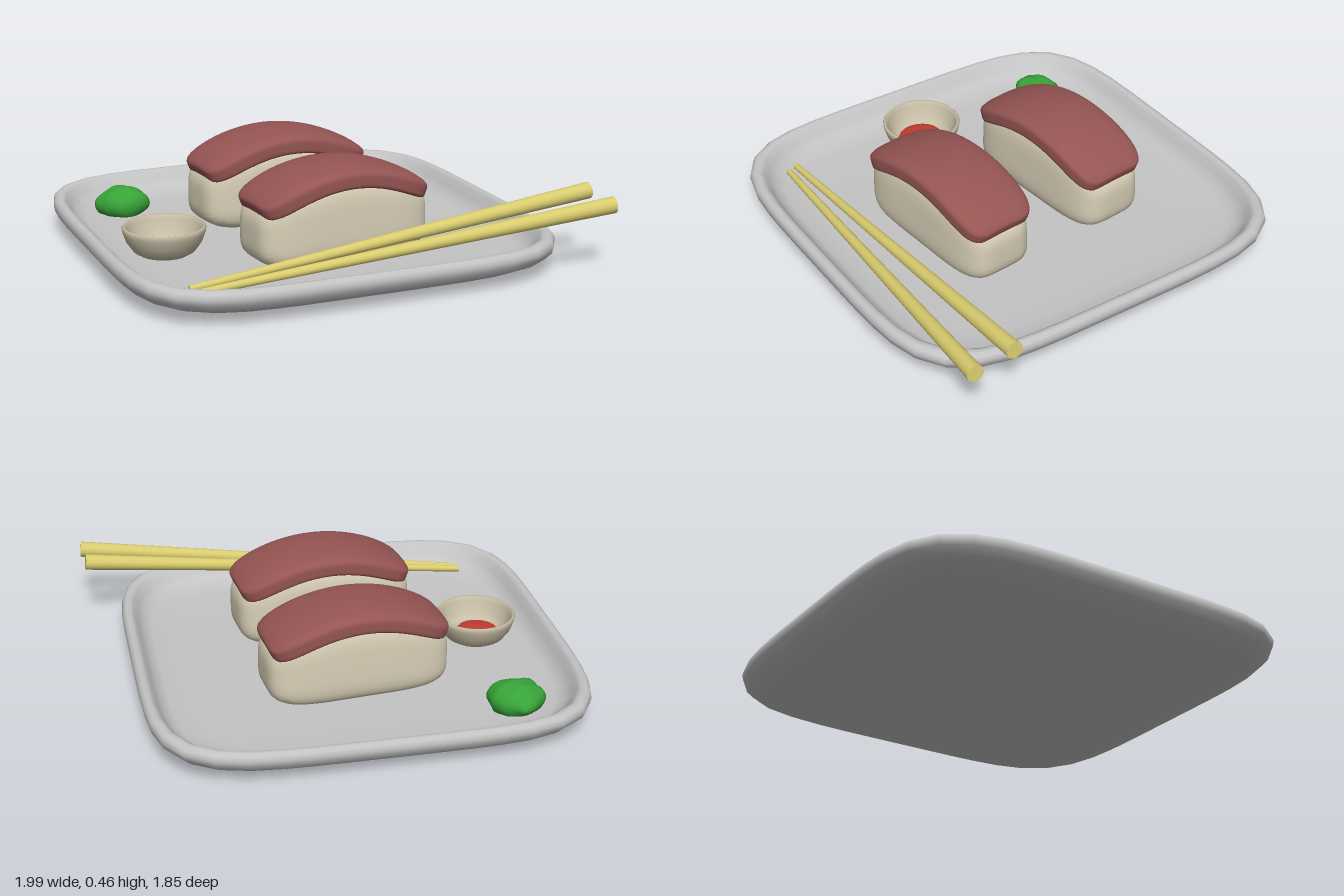
import * as THREE from 'three';
import { mergeVertices } from 'three/addons/utils/BufferGeometryUtils.js';

const paint = (name, color) => {
  const m = new THREE.MeshStandardMaterial({ color });
  m.name = name;
  return m;
};

const pnorm = (p, ...v) => v.reduce((s, c) => s + Math.abs(c) ** p, 0) ** (1 / p);

// Apply a rule to every vertex, then weld and smooth
function reshape(geo, rule) {
  const pos = geo.attributes.position;
  const v = new THREE.Vector3();
  for (let i = 0; i < pos.count; i++) {
    v.fromBufferAttribute(pos, i);
    rule(v);
    pos.setXYZ(i, v.x, v.y, v.z);
  }
  geo.deleteAttribute('normal');
  geo.deleteAttribute('uv');
  const out = mergeVertices(geo, 1e-5);
  out.computeVertexNormals();
  return out;
}

// Soft block of half sizes a, b, c; higher p is boxier
function softBlock(a, b, c, p, bend) {
  return reshape(new THREE.BoxGeometry(2, 2, 2, 28, 12, 18), (v) => {
    v.divideScalar(pnorm(p, v.x, v.y, v.z));
    v.set(v.x * a, v.y * b, v.z * c);
    bend(v);
  });
}

const lathe = (pts, n) => new THREE.LatheGeometry(pts.map(([x, y]) => new THREE.Vector2(x, y)), n);

export function createModel() {
  const group = new THREE.Group();
  const porcelain = paint('porcelain', 0xc4c4c5);
  const riceCream = paint('rice cream', 0xd6cdb5);
  const fishRed = paint('fish red', 0x955553);
  const wood = paint('chopstick yellow', 0xd8cb6e);
  const green = paint('paste green', 0x38a338);
  const clay = paint('bowl clay', 0xc8bea6);
  const red = paint('garnish red', 0xc23d32);

  const add = (name, geo, mat, parent = group) => {
    const m = new THREE.Mesh(geo, mat);
    m.name = name;
    parent.add(m);
    return m;
  };

  // Plate: turned profile squared off into a rounded square
  const plateProfile = [
    [0, 0], [0.45, 0], [0.64, 0.006], [0.78, 0.02], [0.85, 0.037], [0.895, 0.06], [0.92, 0.09],
    [0.925, 0.115], [0.919, 0.135], [0.905, 0.145], [0.888, 0.145], [0.873, 0.134], [0.858, 0.105],
    [0.835, 0.075], [0.8, 0.055], [0.72, 0.045], [0.5, 0.04], [0, 0.04],
  ];
  const plate = reshape(lathe(plateProfile, 56), (v) => {
    const r = Math.hypot(v.x, v.z);
    if (r < 1e-6) return;
    const k = r / pnorm(5, v.x, v.z);
    v.x *= k;
    v.z *= k;
  });
  add('plate', plate, porcelain).position.x = -0.075;

  // Two pieces: a rice block with an arched slice of fish on top
  const rice = softBlock(0.39, 0.18, 0.172, 4.5, (v) => {
    const up = (v.y + 0.18) / 0.36;
    v.y -= 0.5 * v.x * v.x * up;
    v.z *= 1.02 - 0.08 * up;
  });
  const fish = softBlock(0.4, 0.043, 0.175, 5.5, (v) => {
    const h = v.y;
    const slope = 1.45 * v.x;
    v.y = h - 0.72 * v.x * v.x - 0.6 * v.z * v.z;
    v.x += h * slope * 0.7 - 0.05 * v.x;
  });
  for (const [name, x, z, lift] of [['frontPiece', -0.025, 0.31, 0], ['backPiece', -0.05, -0.27, 0.01]]) {
    const piece = new THREE.Group();
    piece.name = name;
    piece.position.set(x, lift, z);
    piece.rotation.y = 0.1;
    group.add(piece);
    add('rice', rice, riceCream, piece).position.y = 0.215;
    add('fishSlice', fish, fishRed, piece).position.y = 0.405;
  }

  // Small bowl with a pale floor and a red garnish
  const bowl = new THREE.Group();
  bowl.name = 'bowl';
  bowl.position.set(-0.675, 0, 0.05);
  group.add(bowl);
  add('bowlWall', lathe([
    [0, 0.036], [0.09, 0.036], [0.13, 0.06], [0.158, 0.1], [0.172, 0.14], [0.175, 0.158], [0.169, 0.165],
    [0.161, 0.163], [0.155, 0.145], [0.138, 0.1], [0.118, 0.075], [0.09, 0.06], [0, 0.058],
  ], 32), clay, bowl);
  const floor = add('bowlFloor', new THREE.CylinderGeometry(0.108, 0.1, 0.008, 32), porcelain, bowl);
  floor.position.y = 0.066;
  const garnish = add('garnish', new THREE.SphereGeometry(1, 20, 12), red, bowl);
  garnish.scale.set(0.094, 0.016, 0.1);
  garnish.position.set(-0.014, 0.071, 0);

  // Lumpy dab of green paste, drawn to a point at the back
  const paste = reshape(new THREE.SphereGeometry(1, 28, 18), (v) => {
    const lump = 1 + 0.05 * Math.sin(5 * v.x + 2 * v.y) * Math.cos(4 * v.z + 1) + 0.03 * Math.sin(9 * v.z + 4 * v.x);
    const tip = Math.max(0, -v.z) ** 14 * Math.max(0, 1 - Math.abs(v.x) * 1.5);
    v.set(v.x * 0.117 * lump, v.y * 0.075 * lump, v.z * (0.1 * lump + 0.02 * tip));
  });
  add('greenPaste', paste, green).position.set(-0.665, 0.088, -0.588);

  // Tapered chopsticks leaning over the plate's edge
  const sticks = [
    ['backChopstick', [-0.77, 0.09, 0.65], [0.98, 0.29, 0.652]],
    ['frontChopstick', [-0.755, 0.085, 0.692], [0.99, 0.274, 0.832]],
  ];
  for (const [name, from, to] of sticks) {
    const a = new THREE.Vector3(...from);
    const b = new THREE.Vector3(...to);
    const dir = b.clone().sub(a);
    const stick = add(name, new THREE.CylinderGeometry(0.035, 0.014, dir.length(), 16), wood);
    stick.position.copy(a).add(b).multiplyScalar(0.5);
    stick.quaternion.setFromUnitVectors(new THREE.Vector3(0, 1, 0), dir.normalize());
  }

  return group;
}
